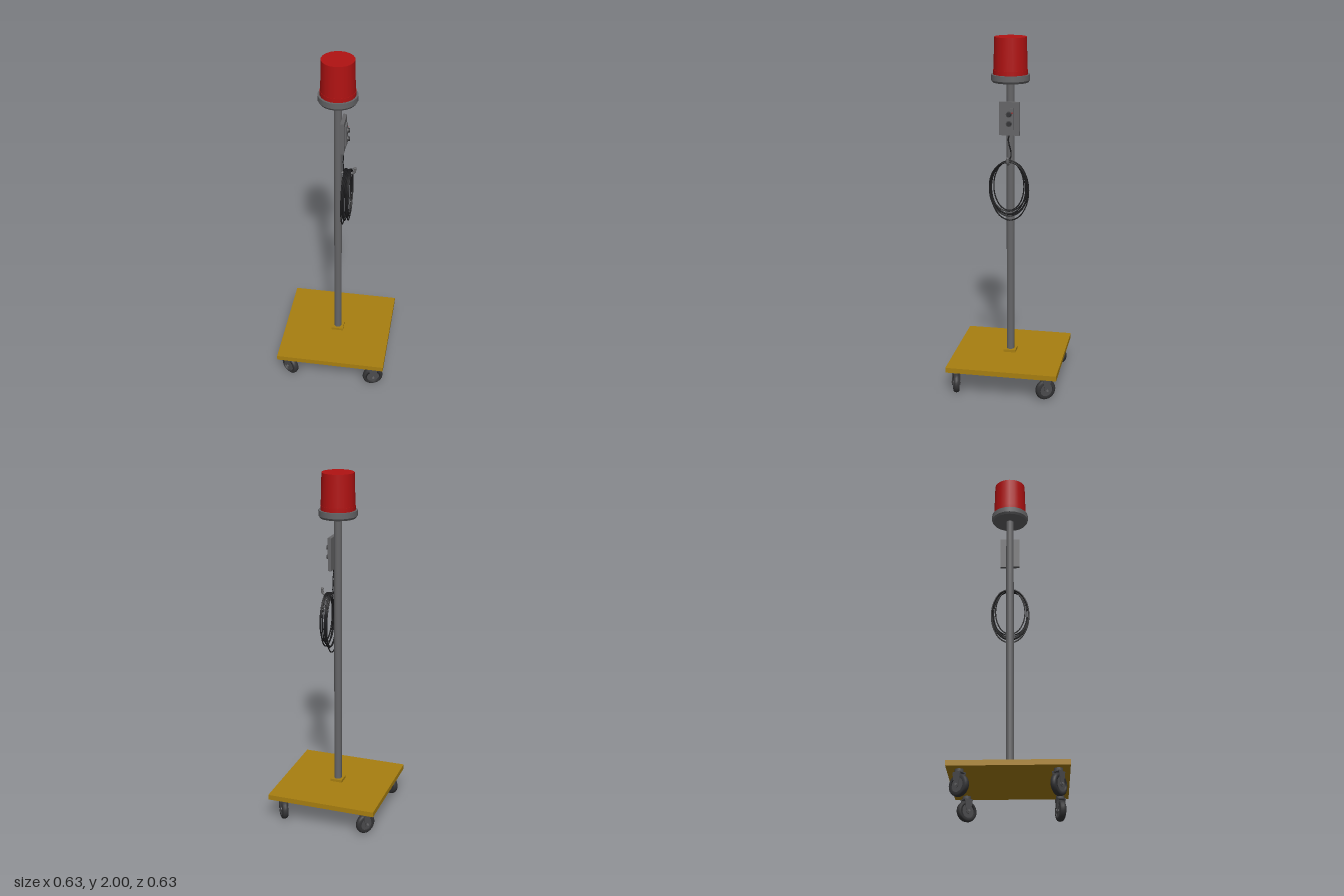
import * as THREE from 'three';

const mat = (name, color) => {
  const m = new THREE.MeshStandardMaterial({ color });
  m.name = name;
  return m;
};

export function createModel() {
  const red = mat('beaconRed', 0xb01212);
  const yellow = mat('baseYellow', 0xa87f10);
  const grey = mat('metalGrey', 0x656567);
  const darkGrey = mat('casterGrey', 0x4c4c4e);
  const rubber = mat('rubberDark', 0x343436);
  const black = mat('cableBlack', 0x1c1c1e);

  const root = new THREE.Group();
  root.name = 'beaconStand';
  const add = (parent, name, geo, material, x = 0, y = 0, z = 0) => {
    const m = new THREE.Mesh(geo, material);
    m.name = name;
    m.position.set(x, y, z);
    parent.add(m);
    return m;
  };
  // Upright cylinder between two heights
  const post = (parent, name, rTop, rBottom, y0, y1, material, seg = 20) =>
    add(parent, name, new THREE.CylinderGeometry(rTop, rBottom, y1 - y0, seg), material, 0, (y0 + y1) / 2, 0);

  // Base plate and pole
  add(root, 'basePlate', new THREE.BoxGeometry(0.632, 0.029, 0.632), yellow, 0, 0.1575, 0);
  add(root, 'poleFoot', new THREE.BoxGeometry(0.07, 0.015, 0.07), yellow, 0, 0.1795, 0);
  post(root, 'pole', 0.022, 0.022, 0.187, 1.756, grey);

  // Beacon lamp
  const beacon = new THREE.Group();
  beacon.name = 'beacon';
  root.add(beacon);
  post(beacon, 'beaconTrayBottom', 0.107, 0.099, 1.755, 1.767, grey);
  post(beacon, 'beaconTray', 0.107, 0.107, 1.767, 1.798, grey);
  post(beacon, 'lensCollar', 0.096, 0.096, 1.798, 1.822, red);
  post(beacon, 'lens', 0.089, 0.094, 1.822, 2.0, red);

  // Switch box on the left side of the pole
  const box = new THREE.Group();
  box.name = 'switchBox';
  root.add(box);
  add(box, 'switchBody', new THREE.BoxGeometry(0.02, 0.185, 0.112), grey, 0.03, 1.557, 0);
  add(box, 'switchPanel', new THREE.BoxGeometry(0.01, 0.122, 0.052), grey, 0.045, 1.557, 0);
  for (const y of [1.583, 1.531]) {
    const rim = add(box, 'buttonRim', new THREE.CylinderGeometry(0.017, 0.017, 0.006, 16), darkGrey, 0.052, y, 0);
    const button = add(box, 'button', new THREE.CylinderGeometry(0.012, 0.013, 0.012, 16), rubber, 0.058, y, 0);
    rim.rotation.z = button.rotation.z = -Math.PI / 2;
  }
  add(box, 'indicator', new THREE.BoxGeometry(0.004, 0.008, 0.006), red, 0.051, 1.59, -0.018);

  // Hook that carries the cable
  const v = (x, y, z) => new THREE.Vector3(x, y, z);
  const hookPath = new THREE.CatmullRomCurve3([
    v(0.015, 1.31, 0), v(0.05, 1.31, 0), v(0.08, 1.312, 0), v(0.091, 1.322, 0), v(0.093, 1.345, 0)]);
  add(root, 'hook', new THREE.TubeGeometry(hookPath, 20, 0.008, 8), grey);
  const tip = new THREE.SphereGeometry(0.009, 10, 8);
  add(root, 'hookTip', tip, grey, 0.093, 1.344, 0);

  // Cable: lead from the box, then coiled turns over the hook
  const pts = [v(0.03, 1.47, 0), v(0.027, 1.44, 0.008), v(0.03, 1.41, 0.002),
    v(0.026, 1.375, -0.006), v(0.028, 1.345, -0.008)];
  const turns = [ // x, half width, bottom height
    [0.028, 0.108, 0.977], [0.035, 0.106, 1.012], [0.042, 0.107, 1.005],
    [0.048, 0.085, 1.04], [0.056, 0.097, 1.022], [0.062, 0.107, 1.01], [0.067, 0.106, 1.04]];
  for (const [x, w, bottom] of turns) {
    const mid = (1.322 + bottom) / 2, h = (1.322 - bottom) / 2;
    for (let i = 0; i < 12; i++) {
      const a = (i / 12) * Math.PI * 2;
      pts.push(v(x + i * 0.0005, mid + h * Math.cos(a), -w * Math.sin(a)));
    }
  }
  pts.push(v(0.07, 1.322, 0));
  add(root, 'cable', new THREE.TubeGeometry(new THREE.CatmullRomCurve3(pts), 360, 0.0038, 6), black);

  // Casters, each swivelled its own way
  const tyreProfile = [[0.038, -0.017], [0.05, -0.017], [0.057, -0.012], [0.06, 0],
    [0.057, 0.012], [0.05, 0.017], [0.038, 0.017], [0.038, -0.017]].map(p => new THREE.Vector2(...p));
  const tyreGeo = new THREE.LatheGeometry(tyreProfile, 24).rotateX(Math.PI / 2);
  const disc = (r, w, seg = 20) => new THREE.CylinderGeometry(r, r, w, seg).rotateX(Math.PI / 2);
  const forkShape = new THREE.Shape();
  forkShape.moveTo(-0.026, 0.126);
  forkShape.lineTo(-0.013, 0.056);
  forkShape.absarc(0, 0.056, 0.013, Math.PI, Math.PI * 2, false);
  forkShape.lineTo(0.026, 0.126);
  const forkGeo = new THREE.ExtrudeGeometry(forkShape, { depth: 0.004, bevelEnabled: false, curveSegments: 8 });

  const casters = [['frontLeftCaster', 0.252, 0.27, 0.3], ['frontRightCaster', -0.25, 0.255, -0.62],
    ['backLeftCaster', 0.25, -0.247, -0.95], ['backRightCaster', -0.25, -0.25, 0.95]];
  for (const [name, x, z, turn] of casters) {
    const c = new THREE.Group();
    c.name = name;
    c.position.set(x, 0, z);
    c.rotation.y = turn;
    root.add(c);
    add(c, 'tyre', tyreGeo, rubber, 0, 0.06, 0);
    add(c, 'wheelDisc', disc(0.039, 0.022), darkGrey, 0, 0.06, 0);
    add(c, 'axle', disc(0.007, 0.056, 10), grey, 0, 0.06, 0);
    for (const s of [-1, 1]) add(c, 'forkSide', forkGeo, darkGrey, 0, 0, s * 0.021 - 0.002);
    add(c, 'forkTop', new THREE.BoxGeometry(0.052, 0.005, 0.046), darkGrey, 0, 0.1245, 0);
    post(c, 'swivel', 0.023, 0.023, 0.126, 0.144, darkGrey, 16);
  }
  return root;
}
